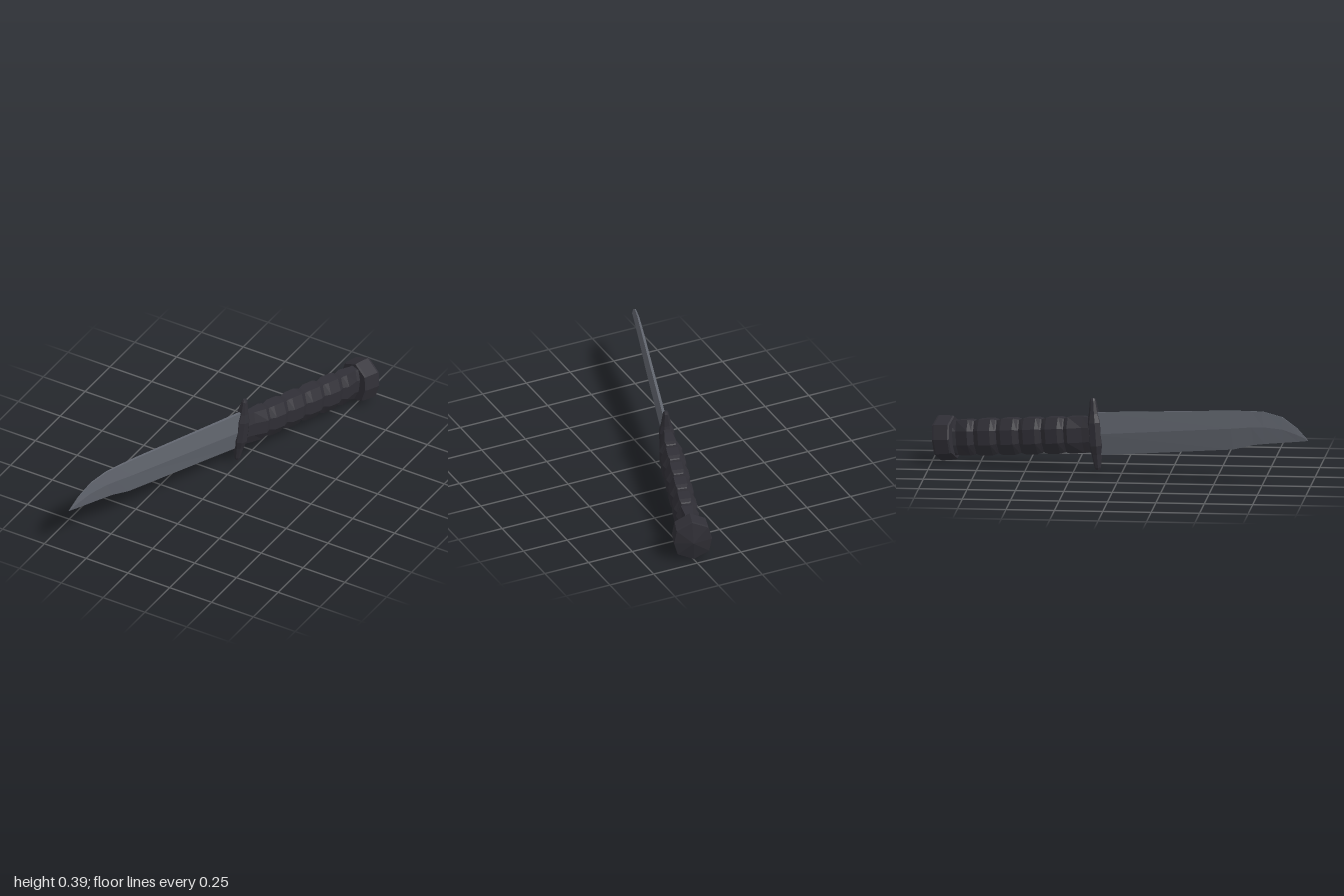
import * as THREE from 'three';

// Skins a list of rings (each: z plus counterclockwise [x, y] points), capped, with flat normals.
function loft(rings) {
  const pos = [];
  const n = rings[0].pts.length;
  const pt = (r, i) => [r.pts[i % n][0], r.pts[i % n][1], r.z];
  const cap = (r, flip) => {
    const mid = [0, 1].map(k => r.pts.reduce((sum, p) => sum + p[k], 0) / n);
    const c = [mid[0], mid[1], r.z + (r.bulge || 0)];
    for (let i = 0; i < n; i++) {
      const a = pt(r, i), b = pt(r, i + 1);
      pos.push(...c, ...(flip ? b : a), ...(flip ? a : b));
    }
  };
  cap(rings[0], true);
  for (let k = 0; k < rings.length - 1; k++) {
    for (let i = 0; i < n; i++) {
      const a = pt(rings[k], i), b = pt(rings[k], i + 1);
      const c = pt(rings[k + 1], i + 1), d = pt(rings[k + 1], i);
      pos.push(...a, ...b, ...c, ...a, ...c, ...d);
    }
  }
  cap(rings[rings.length - 1], false);
  const g = new THREE.BufferGeometry();
  g.setAttribute('position', new THREE.Float32BufferAttribute(pos, 3));
  g.computeVertexNormals();
  return g;
}

// Grip section: tall octagon with flat sides and a narrow top.
const gripRing = (z, w, h) => ({
  z,
  pts: [[w, -0.4 * h], [w, 0.4 * h], [w * 0.5, h], [-w * 0.5, h],
    [-w, 0.4 * h], [-w, -0.4 * h], [-w * 0.5, -h], [w * 0.5, -h]],
});

// Pommel section: octagon with corners at top, bottom and sides.
const pommelRing = (z, k, bulge = 0) => ({
  z, bulge,
  pts: [[0.1, 0], [0.083, 0.076], [0, 0.118], [-0.083, 0.076],
    [-0.1, 0], [-0.083, -0.076], [0, -0.118], [0.083, -0.076]].map(([x, y]) => [x * k, y * k]),
});

export function createModel() {
  const steel = new THREE.MeshStandardMaterial({ color: 0x62666f });
  steel.name = 'steel';
  const black = new THREE.MeshStandardMaterial({ color: 0x302f36 });
  black.name = 'black';

  const knife = new THREE.Group();
  knife.name = 'knife';
  const add = (name, geometry, material) => {
    const m = new THREE.Mesh(geometry, material);
    m.name = name;
    knife.add(m);
    return m;
  };

  // Blade: distance, spine height, ridge height, edge height, half thickness
  const blade = [
    [0.0, 0.113, 0.0, -0.111, 0.018],
    [0.765, 0.104, 0.012, -0.0975, 0.015],
    [0.88, 0.099, 0.016, -0.077, 0.013],
    [0.945, 0.095, 0.015, -0.073, 0.011],
    [1.052, 0.064, 0.0, -0.069, 0.008],
    [1.13, 0.006, -0.03, -0.066, 0.005],
    [1.187, -0.059, -0.061, -0.063, 0.001],
  ];
  add('blade', loft(blade.map(([z, top, mid, low, t]) => ({
    z,
    pts: [[t, mid], [t * 0.4, top], [-t * 0.4, top], [-t, mid], [0, low]],
  }))), steel);

  // Guard: lofted upward; height, half width, half depth
  const guard = [
    [-0.186, 0.009, 0.009], [-0.174, 0.014, 0.015], [-0.105, 0.026, 0.024], [-0.06, 0.038, 0.036],
    [0.06, 0.038, 0.036], [0.105, 0.026, 0.024], [0.174, 0.014, 0.015], [0.186, 0.009, 0.009],
  ];
  const guardGeometry = loft(guard.map(([z, w, d]) => ({
    z,
    pts: [[w, -d * 0.45], [w, d * 0.45], [w * 0.5, d], [-w * 0.5, d],
      [-w, d * 0.45], [-w, -d * 0.45], [-w * 0.5, -d], [w * 0.5, -d]],
  })));
  guardGeometry.rotateX(-Math.PI / 2);
  add('guard', guardGeometry, black);

  // Grip: flared collar, four bulging segments and a tapering neck, parted by grooves
  const groove = z => gripRing(z, 0.046, 0.082);
  add('gripCollar', loft([
    groove(-0.162), gripRing(-0.155, 0.05, 0.09), gripRing(-0.135, 0.06, 0.094),
    gripRing(-0.06, 0.04, 0.095), gripRing(-0.02, 0.036, 0.088),
  ]), black);
  for (let i = 0; i < 4; i++) {
    const z = -0.158 - i * 0.126;
    add('gripSegment' + (i + 1), loft([
      groove(z - 0.13), gripRing(z - 0.12, 0.051, 0.088), gripRing(z - 0.098, 0.062, 0.094),
      gripRing(z - 0.032, 0.062, 0.094), gripRing(z - 0.008, 0.051, 0.088), groove(z + 0.004),
    ]), black);
  }
  add('gripNeck', loft([
    gripRing(-0.81, 0.055, 0.09), gripRing(-0.765, 0.042, 0.09), gripRing(-0.695, 0.061, 0.093),
    gripRing(-0.672, 0.051, 0.088), groove(-0.66),
  ]), black);

  // Pommel with a shallow domed end
  add('pommel', loft([
    pommelRing(-0.875, 0.98, -0.024), pommelRing(-0.865, 1), pommelRing(-0.79, 0.97), pommelRing(-0.782, 0.92),
  ]), black);

  // Lay the knife along its slanted axis
  const forward = new THREE.Vector3(-0.295, 0.1, 0.951).normalize();
  const side = new THREE.Vector3(0.08, 0.99, -0.079).cross(forward).normalize();
  const up = forward.clone().cross(side);
  knife.quaternion.setFromRotationMatrix(new THREE.Matrix4().makeBasis(side, up, forward));
  knife.position.set(0, 0.207, -0.135);

  const model = new THREE.Group();
  model.name = 'model';
  model.add(knife);
  return model;
}
